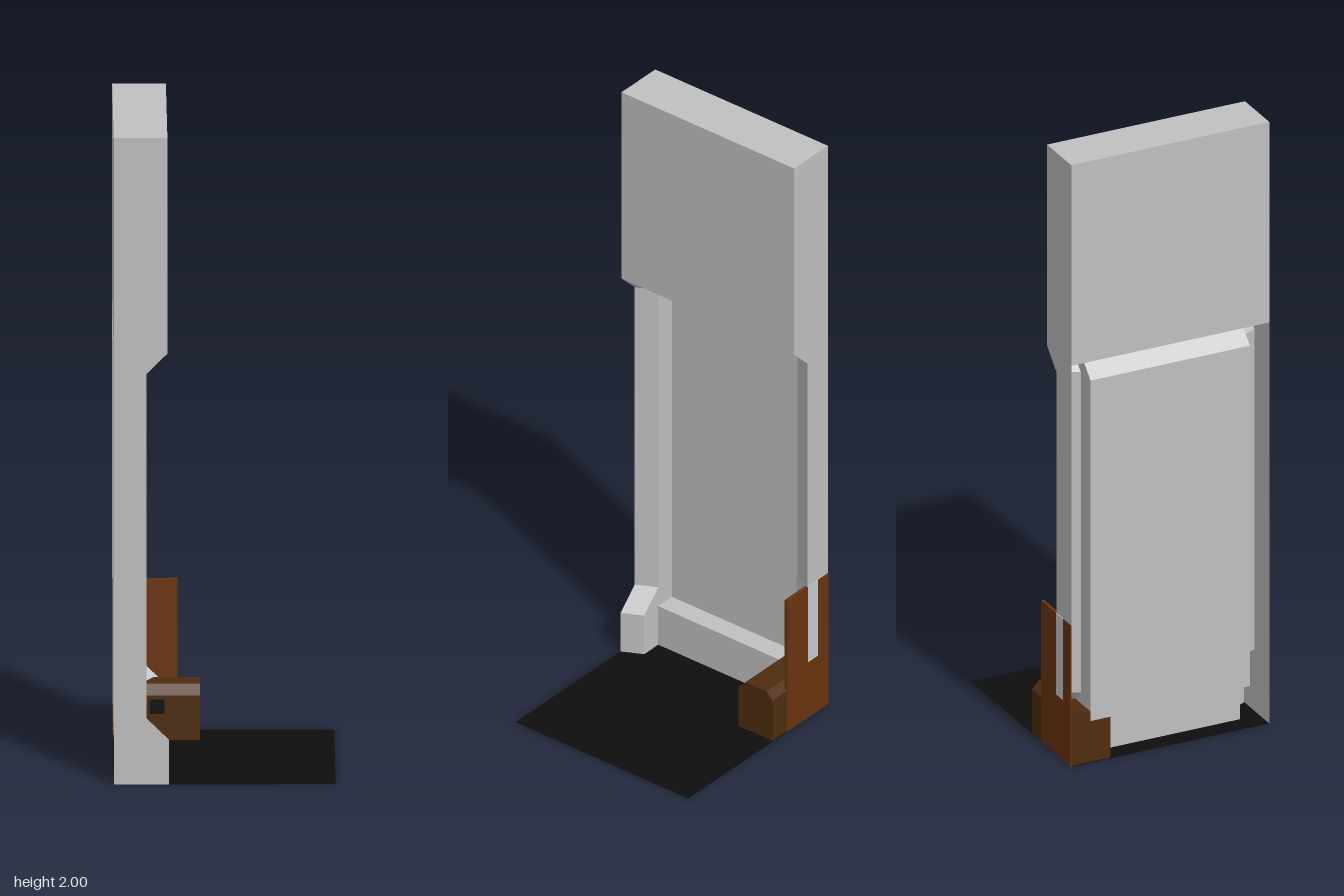
import * as THREE from 'three';

const mat = (name, color) => {
  const m = new THREE.MeshStandardMaterial({ color, side: THREE.DoubleSide });
  m.name = name;
  return m;
};

export function createModel() {
  const grey = mat('wall grey', 0xc0c0c0);
  const black = mat('floor black', 0x0e0e0e);
  const rust = mat('rust brown', 0x6b3410);
  const brown = mat('dark brown', 0x4e2c0e);
  const pale = mat('pale blue grey', 0xc4cace);
  const model = new THREE.Group();

  const add = (name, geometry, material, parent = model) => {
    const mesh = new THREE.Mesh(geometry, material);
    mesh.name = name;
    parent.add(mesh);
    return mesh;
  };
  // Flat shaded surface from a list of four-cornered faces
  const faces = (quads) => {
    const p = [];
    for (const [a, b, c, d] of quads) p.push(...a, ...b, ...c, ...a, ...c, ...d);
    const g = new THREE.BufferGeometry();
    g.setAttribute('position', new THREE.Float32BufferAttribute(p, 3));
    g.computeVertexNormals();
    return g;
  };
  const shape = (pts) => new THREE.Shape(pts.map(([x, y]) => new THREE.Vector2(x, y)));
  // Ribbon along a profile of [x, y] points, between two depths
  const ribbon = (profile, z0, z1, dx = 0) => profile.slice(1).map(([x, y], i) => {
    const [px, py] = profile[i];
    return [[px, py, z0], [x, y, z0], [x + dx, y, z1], [px + dx, py, z1]];
  });

  const W = 0.333, I = 0.268, B = -0.333;

  // Floor slab
  const floor = add('floor', new THREE.PlaneGeometry(2 * W, 2 * W), black);
  floor.rotation.x = -Math.PI / 2;

  // Wall: the edge profile from the foot up to the overhang
  const wall = new THREE.Group();
  wall.name = 'wall';
  model.add(wall);
  const edge = [[-0.167, 0], [-0.167, 0.138], [-0.235, 0.205], [-0.235, 1.27], [-0.172, 1.333]];
  const outline = shape([[B, 0], ...edge, [-0.172, 2], [B, 2]]);

  // Upper block: front, top and back
  add('upperBlock', faces(ribbon([[-0.172, 1.333], [-0.172, 2], [B, 2], [B, 1.333]], W, -W)), grey, wall);

  for (const s of [1, -1]) {
    const end = add('endFace', new THREE.ShapeGeometry(outline), grey, wall);
    end.position.z = s * W;
    // Frame strip leans in toward the recess
    add('frameStrip', faces(ribbon(edge, s * W, s * I, -0.033)), grey, wall);
    // Recess cheek between strip and sunken panel
    const cheek = shape([[-0.2, 0], [-0.2, 0.138], [-0.268, 0.205], [-0.268, 1.27], [-0.205, 1.333],
      [-0.267, 1.333], [B, 1.27], [B, 0.138], [-0.267, 0.138], [-0.267, 0]]);
    add('recessCheek', new THREE.ShapeGeometry(cheek), grey, wall).position.z = s * I;
    // Small underside corner above each strip
    add('undersideCorner', faces([[[-0.172, 1.333, s * W], [-0.172, 1.333, s * I],
      [-0.205, 1.333, s * I], [-0.172, 1.333, s * W]]]), grey, wall);
  }

  // Sunken panel with foot, ledge, top bevel and underside
  add('sunkenPanel', faces(ribbon([[-0.267, 0], [-0.267, 0.138], [B, 0.138], [B, 1.27],
    [-0.267, 1.333], [-0.172, 1.333]], I, -I)), grey, wall);

  // Chamfered beam across the back corner
  const beamShape = shape([[0.2, 0.002], [0.2, 0.14], [0.23, 0.17], [0.308, 0.17], [0.332, 0.146], [0.332, 0.002]]);
  const beam = add('beam', new THREE.ExtrudeGeometry(beamShape, { depth: 0.262, bevelEnabled: false }), brown);
  beam.rotation.y = Math.PI / 2;
  beam.position.x = -0.332;
  const slot = add('beamSlot', new THREE.BoxGeometry(0.045, 0.045, 0.004), black);
  slot.position.set(-0.2, 0.105, -0.2);

  // Upright plate at the back
  const plate = new THREE.Group();
  plate.name = 'backPlate';
  model.add(plate);
  const slab = (name, x0, x1, y0, y1, m) => add(name, new THREE.BoxGeometry(x1 - x0, y1 - y0, 0.003), m, plate)
    .position.set((x0 + x1) / 2, (y0 + y1) / 2, -0.3335);
  slab('outerUpright', B, -0.283, 0.2, 0.47, rust);
  slab('paleUpright', -0.283, -0.235, 0.2, 0.47, pale);
  slab('plateFoot', B, -0.137, 0.002, 0.2, rust);
  const upright = add('innerUpright', new THREE.BoxGeometry(0.098, 0.32, 0.01), rust, plate);
  upright.position.set(-0.186, 0.31, -0.33);

  // Pale patch on the frame strip beside the plate
  const patch = add('palePatch', faces(ribbon([[-0.167, 0.138], [-0.235, 0.205], [-0.235, 0.47]], -W, -I, -0.033)), pale);
  patch.position.set(0.002, 0.001, 0.002);

  return model;
}
